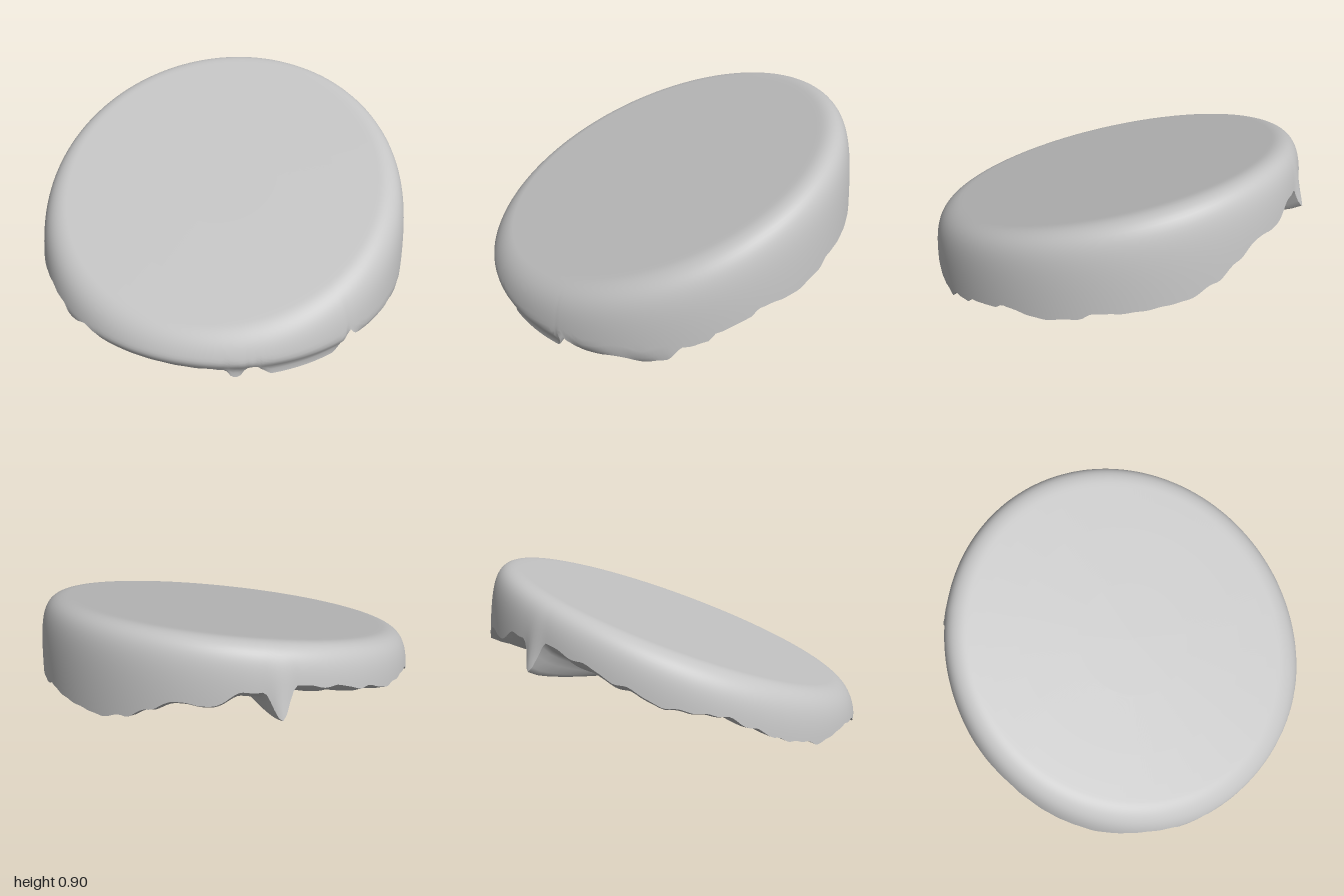
import * as THREE from 'three';

const SEG = 360;
const { degToRad, smoothstep } = THREE.MathUtils;

// Height of the sloping top plane
const plane = (x, z) => 0.582 - 0.39 * z - 0.042 * x;

// Lower edge: [degrees from the front towards +x, height]
const EDGE = [
  [0, 0.065], [17, 0.06], [21, 0.05], [24, -0.01], [26, 0.01], [28, 0.07], [30, 0.08], [33, 0.03],
  [35, 0], [38, -0.04], [54, -0.04], [57, 0.01], [59.5, 0.16], [62, 0.11], [67.5, 0.06], [78.5, 0.1],
  [84, 0.07], [90, 0.1], [95.5, 0.18], [101.5, 0.2], [104.5, 0.25], [113.5, 0.29], [117, 0.33],
  [127, 0.33], [139, 0.37], [143, 0.41], [167, 0.445], [176, 0.5], [183, 0.57], [190, 0.63],
  [199, 0.62], [207, 0.69], [212, 0.68], [217, 0.55], [221, 0.69], [232, 0.64], [243, 0.56],
  [256, 0.47], [264, 0.44], [270, 0.42], [278, 0.35], [285, 0.28], [290, 0.24], [295, 0.22],
  [300, 0.18], [315, 0.175], [325, 0.15], [330, 0.1], [336, 0.125], [340, 0.11], [344, 0.08],
  [351, 0.07], [360, 0.065],
];

function edgeHeight(deg) {
  const i = EDGE.findIndex((e) => e[0] > deg);
  const [a0, y0] = EDGE[i - 1], [a1, y1] = EDGE[i];
  const ripple = 0.004 * Math.sin(deg * 0.611) * Math.sin(deg * 0.35);
  return y0 + (y1 - y0) * smoothstep(deg, a0, a1) + ripple;
}

// Point at a radius and a drop below the top plane; the body leans back slightly
function bodyPoint(deg, r, drop) {
  const a = degToRad(deg);
  const x = r * Math.sin(a);
  const z = r * Math.cos(a) + (0.035 - 0.015 * Math.cos(a)) * (1 - 1.2 * drop);
  return [x, plane(x, z) - drop, z];
}

// Point on the side wall: rounded shoulder, small outward spike, feet curling inward
function wallPoint(deg, drop) {
  let r = 0.84 + 0.162 * Math.tanh(Math.sqrt(drop / 0.1));
  r += 0.03 * Math.exp(-(((deg - 217) / 2.5) ** 2)) * Math.min(1, (drop / 0.35) ** 3);
  r -= 0.055 * (1 - smoothstep(bodyPoint(deg, r, drop)[1], 0, 0.13));
  return bodyPoint(deg, r, drop);
}

// Drop at which the wall reaches height y
function dropTo(deg, y) {
  let drop = 0.2;
  for (let i = 0; i < 10; i++) drop = Math.max(0.03, drop + wallPoint(deg, drop)[1] - y);
  return drop;
}

// Oval of the central recess, parallel to the top plane
function recessRing(scale, depth) {
  return (deg) => {
    const a = degToRad(deg), b = a - degToRad(55);
    const r = scale / Math.hypot(Math.cos(b) / 0.29, Math.sin(b) / 0.22);
    const x = r * Math.sin(a) + 0.017, z = r * Math.cos(a) - 0.025;
    return [x, plane(x, z) - depth, z];
  };
}

// Skin a list of closed rings, each a function of the angle
function loft(name, rings, material) {
  const pos = [], index = [];
  rings.forEach((ring, i) => {
    for (let j = 0; j < SEG; j++) {
      pos.push(...ring((j * 360) / SEG));
      if (i === rings.length - 1) continue;
      const k = (j + 1) % SEG;
      const a = i * SEG + j, b = a + SEG, c = (i + 1) * SEG + k, d = i * SEG + k;
      index.push(a, b, c, a, c, d);
    }
  });
  const geo = new THREE.BufferGeometry();
  geo.setAttribute('position', new THREE.Float32BufferAttribute(pos, 3));
  geo.setIndex(index);
  geo.computeVertexNormals();
  const mesh = new THREE.Mesh(geo, material);
  mesh.name = name;
  return mesh;
}

export function createModel() {
  const group = new THREE.Group();
  group.name = 'tiltedDisc';
  const grey = new THREE.MeshStandardMaterial({ color: 0xc4c4c4 });
  grey.name = 'light grey';

  // Flat top, rounded shoulder and side wall down to the ragged edge
  const shell = [0.001, 0.3, 0.6, 0.76, 0.82].map((r) => (deg) => bodyPoint(deg, r, 0));
  const ROWS = 18;
  for (let i = 0; i <= ROWS; i++) {
    const f = (i / ROWS) ** 2;
    shell.push((deg) => wallPoint(deg, f * dropTo(deg, Math.max(0, edgeHeight(deg)))));
  }
  group.add(loft('topAndSide', shell, grey));

  // Underside: ridges fade from the ragged edge to the central recess, feet cut flat
  const DEPTH = 0.36, CEILING = 0.22;
  const rim = recessRing(1, DEPTH);
  const under = [];
  for (let i = 0; i <= 14; i++) {
    const f = i / 14;
    under.push((deg) => {
      const y = edgeHeight(deg);
      const p = wallPoint(deg, dropTo(deg, Math.max(0, y)));
      const q = rim(deg);
      const h = y + (q[1] - y) * f ** 0.75;
      return [p[0] + (q[0] - p[0]) * f, Math.max(0, h), p[2] + (q[2] - p[2]) * f];
    });
  }
  group.add(loft('underside', under, grey));

  // Recess in the middle of the underside
  group.add(loft('recessWall', [rim, recessRing(1, CEILING)], grey));
  group.add(loft('recessCeiling', [recessRing(1, CEILING), recessRing(0.001, CEILING)], grey));

  return group;
}
